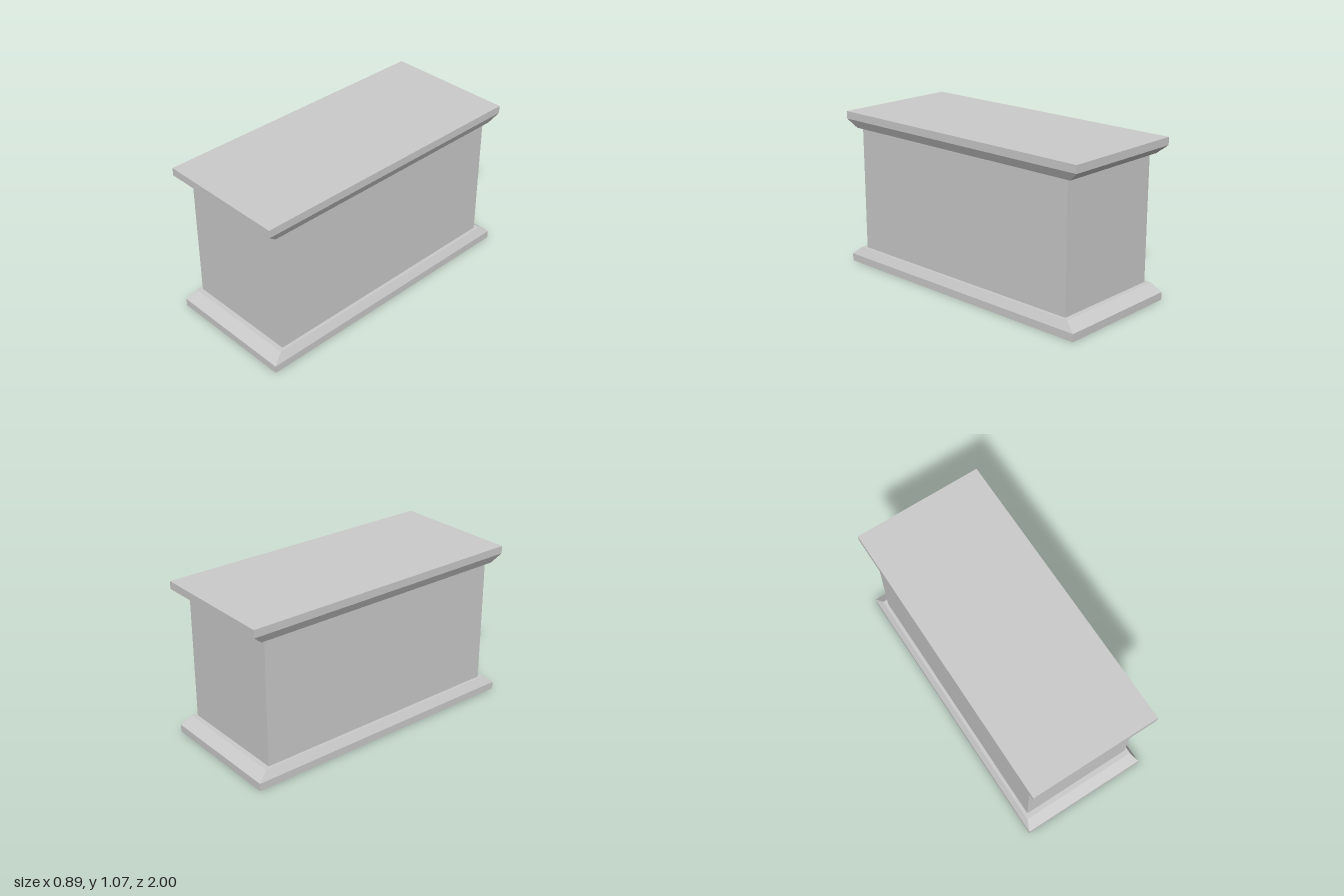
import * as THREE from 'three';

const HEIGHT = 1.073;
const EDGE = 0.052;   // height of the square edge of a slab
const SLAB = 0.109;   // full height of a slab
const OUTER = [0.444, 1.0];    // half width, half depth
const INNER = [0.416, 0.932];
const BODY = [0.394, 0.898];

const material = new THREE.MeshStandardMaterial({ color: 0xcccccc, flatShading: true });

// Box from y0 to y1 whose bottom and top may differ in half size
function taperedBox(name, y0, y1, bottom, top) {
  const geometry = new THREE.BoxGeometry(2, y1 - y0, 2);
  geometry.translate(0, (y0 + y1) / 2, 0);
  const p = geometry.attributes.position;
  for (let i = 0; i < p.count; i++) {
    const [hx, hz] = p.getY(i) > (y0 + y1) / 2 ? top : bottom;
    p.setX(i, p.getX(i) * hx);
    p.setZ(i, p.getZ(i) * hz);
  }
  geometry.computeVertexNormals();
  const mesh = new THREE.Mesh(geometry, material);
  mesh.name = name;
  return mesh;
}

export function createModel() {
  const model = new THREE.Group();
  model.name = 'pedestal';

  // Plinth: square edge with a sloped moulding above
  const base = new THREE.Group();
  base.name = 'base';
  base.add(
    taperedBox('baseEdge', 0, EDGE, OUTER, OUTER),
    taperedBox('baseMoulding', EDGE, SLAB, OUTER, INNER)
  );

  // Main block
  const body = taperedBox('body', SLAB, HEIGHT - SLAB, BODY, BODY);

  // Top slab mirrors the plinth
  const top = new THREE.Group();
  top.name = 'top';
  top.add(
    taperedBox('topMoulding', HEIGHT - SLAB, HEIGHT - EDGE, INNER, OUTER),
    taperedBox('topEdge', HEIGHT - EDGE, HEIGHT, OUTER, OUTER)
  );

  model.add(base, body, top);
  return model;
}
